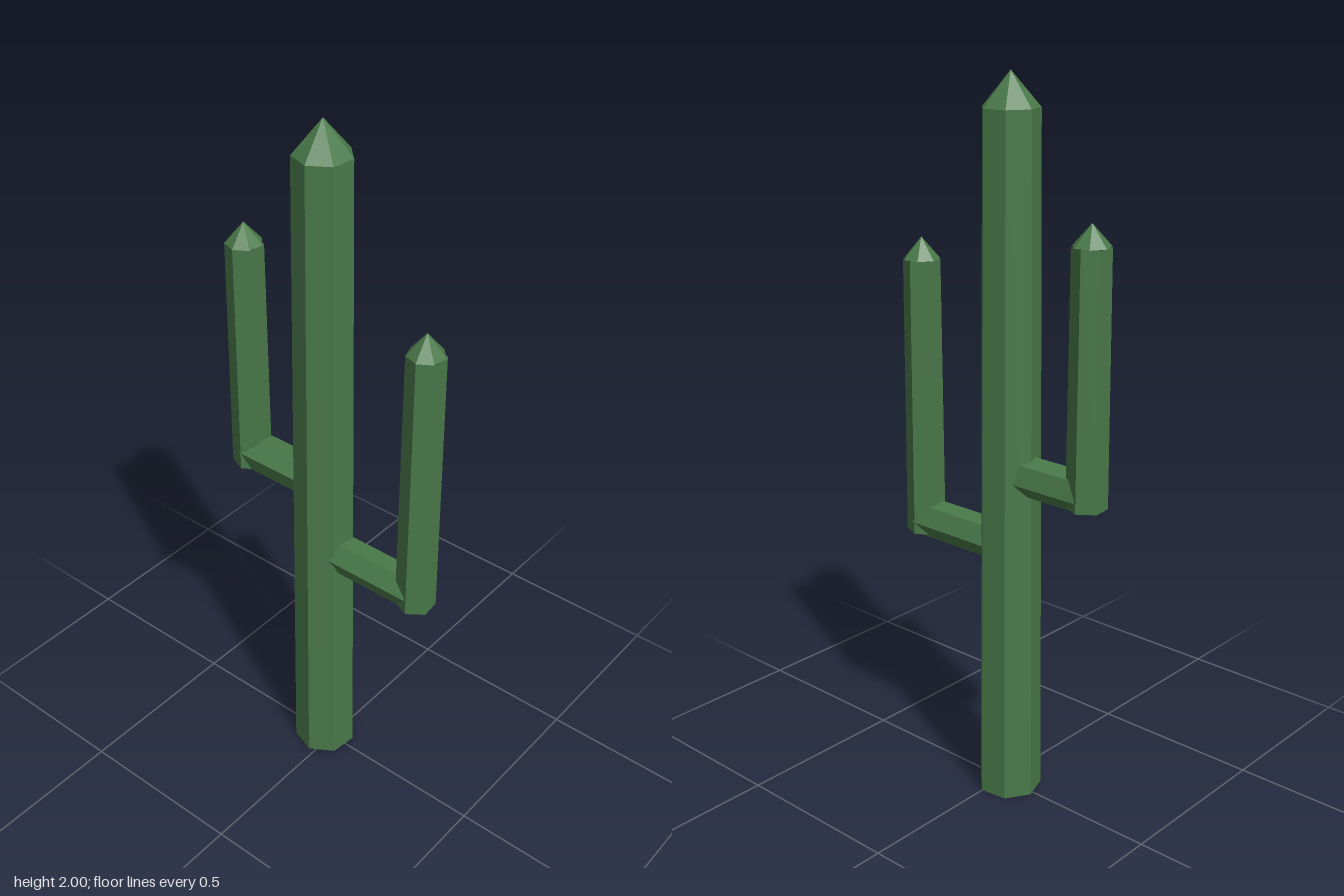
import * as THREE from 'three';

export function createModel() {
  const model = new THREE.Group();
  const green = new THREE.MeshStandardMaterial({ color: 0x4a7a4a, flatShading: true });
  green.name = 'cactusGreen';
  const TWIST = 0.11; // shared turn of the upright stems
  const Z = -0.003;

  function add(parent, name, geometry, x, y) {
    const mesh = new THREE.Mesh(geometry, green);
    mesh.name = name;
    mesh.position.set(x, y, Z);
    parent.add(mesh);
  }

  // Tapered upright stem, closed below, with a seven-sided pointed tip on top
  function addStem(parent, name, { x, y0, y1, tip, r0, r1, sides }) {
    const profile = [[0, 0], [r0, 0], [r1, y1 - y0]].map(([r, y]) => new THREE.Vector2(r, y));
    add(parent, name, new THREE.LatheGeometry(profile, sides, TWIST), x, y0);
    const cone = new THREE.ConeGeometry(r1, tip - y1, 7, 1, true, TWIST);
    add(parent, name + 'Tip', cone, x, (y1 + tip) / 2);
  }

  // Trunk
  addStem(model, 'trunk', { x: -0.029, y0: 0, y1: 1.91, tip: 2, r0: 0.09, r1: 0.077, sides: 7 });

  // Arms: a six-sided horizontal elbow and a six-sided upright
  const arms = [
    { name: 'rightArm', x: -0.292, elbowY: 0.957, turn: -0.22, y0: 0.918, y1: 1.597, tip: 1.655 },
    { name: 'leftArm', x: 0.29, elbowY: 0.745, turn: -0.08, y0: 0.706, y1: 1.49, tip: 1.55 },
  ];
  for (const { name, x, elbowY, turn, y0, y1, tip } of arms) {
    const arm = new THREE.Group();
    arm.name = name;
    const inner = -0.029;
    const elbow = new THREE.CylinderGeometry(0.055, 0.055, Math.abs(x - inner), 6, 1, false, turn);
    elbow.rotateZ(-Math.PI / 2);
    add(arm, name + 'Elbow', elbow, (x + inner) / 2, elbowY);
    addStem(arm, name + 'Upright', { x, y0, y1, tip, r0: 0.055, r1: 0.051, sides: 6 });
    model.add(arm);
  }
  return model;
}
